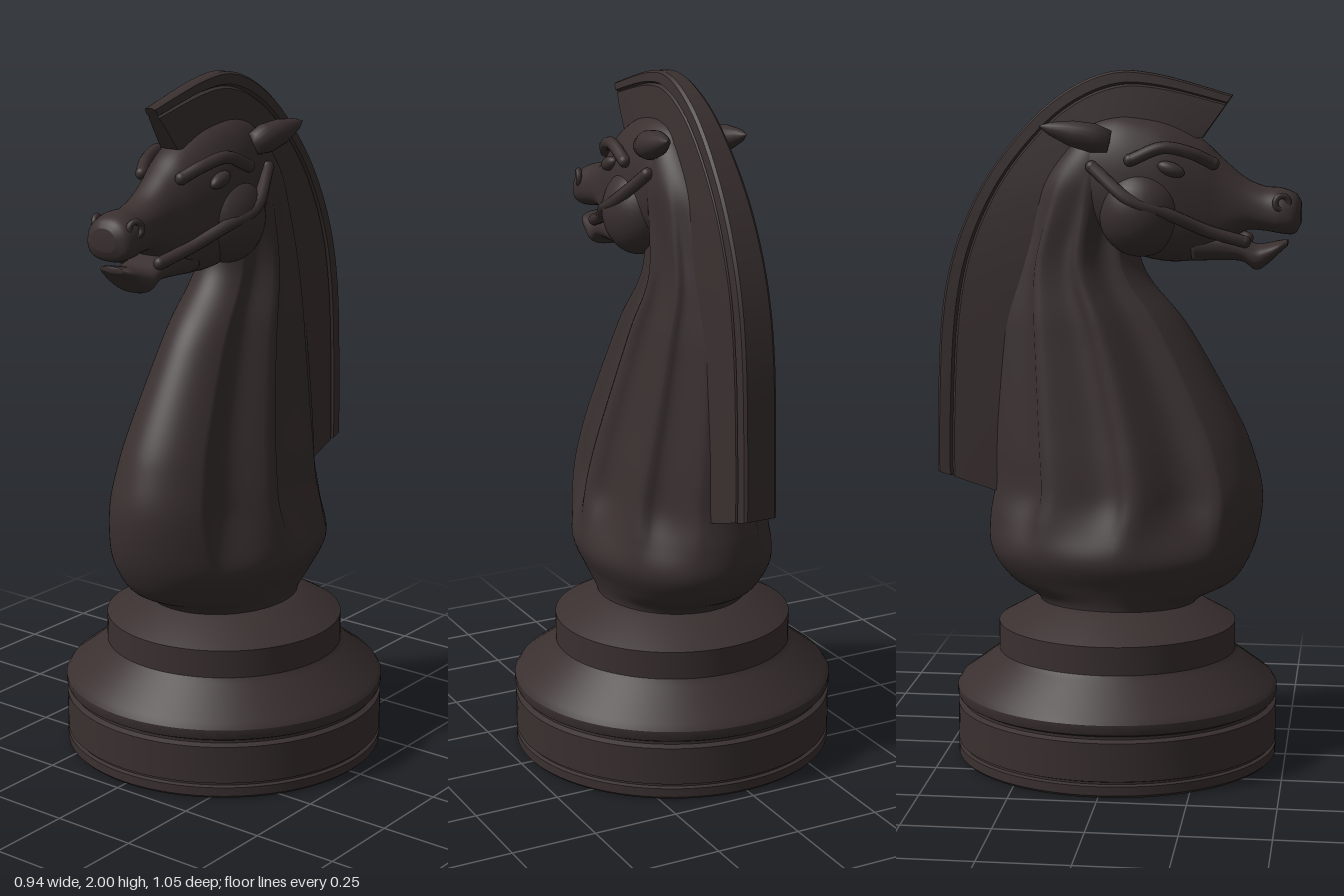
import * as THREE from 'three';
import { toCreasedNormals } from 'three/addons/utils/BufferGeometryUtils.js';

const darkWood = new THREE.MeshStandardMaterial({ color: 0x3a3030 });
darkWood.name = 'darkWood';

// Smoothly resample rows of numbers (Catmull-Rom per column)
function resample(rows, steps) {
  const out = [];
  const last = rows.length - 1;
  for (let i = 0; i < last; i++) {
    const [a, b, c, d] = [rows[Math.max(i - 1, 0)], rows[i], rows[i + 1], rows[Math.min(i + 2, last)]];
    for (let s = 0; s < steps; s++) {
      const t = s / steps;
      out.push(b.map((v, k) => {
        const cubic = 3 * (v - c[k]) + d[k] - a[k];
        const square = 2 * a[k] - 5 * v + 4 * c[k] - d[k];
        return v + 0.5 * t * (c[k] - a[k] + t * (square + t * cubic));
      }));
    }
  }
  out.push(rows[last]);
  return out;
}

// Skin a list of closed rings, each a list of [x, y, z], and cap both ends
function loft(rings, crease) {
  const n = rings[0].length;
  const positions = rings.flat(2);
  const index = [];
  for (let i = 0; i < rings.length - 1; i++) {
    for (let j = 0; j < n; j++) {
      const a = i * n + j, b = i * n + (j + 1) % n;
      index.push(a, b, b + n, a, b + n, a + n);
    }
  }
  [0, rings.length - 1].forEach((r, end) => {
    const centre = positions.length / 3;
    for (let k = 0; k < 3; k++) positions.push(rings[r].reduce((sum, p) => sum + p[k], 0) / n);
    for (let j = 0; j < n; j++) {
      const a = r * n + j, b = r * n + (j + 1) % n;
      index.push(centre, end ? a : b, end ? b : a);
    }
  });
  const geometry = new THREE.BufferGeometry();
  geometry.setAttribute('position', new THREE.Float32BufferAttribute(positions, 3));
  geometry.setIndex(index);
  geometry.computeVertexNormals();
  return crease ? toCreasedNormals(geometry, crease) : geometry;
}

function addMesh(parent, name, geometry) {
  const mesh = new THREE.Mesh(geometry, darkWood);
  mesh.name = name;
  parent.add(mesh);
  return mesh;
}

function addEllipsoid(parent, name, position, radii) {
  const mesh = addMesh(parent, name, new THREE.SphereGeometry(1, 32, 20));
  mesh.position.set(...position);
  mesh.scale.set(...radii);
  return mesh;
}

function addTube(parent, name, points, radius) {
  const curve = new THREE.CatmullRomCurve3(points.map(p => new THREE.Vector3(...p)));
  addMesh(parent, name, new THREE.TubeGeometry(curve, 28, radius, 10));
  for (const p of [points[0], points[points.length - 1]]) {
    addEllipsoid(parent, name + 'End', p, [radius, radius, radius]);
  }
}

// Turned pedestal with two grooves
function pedestal() {
  const profile = [
    [0, 0], [0.462, 0], [0.47, 0.008], [0.47, 0.034], [0.46, 0.038], [0.46, 0.044], [0.47, 0.048],
    [0.47, 0.158], [0.455, 0.165], [0.455, 0.173], [0.468, 0.18], [0.472, 0.19], [0.472, 0.21],
    [0.46, 0.228], [0.36, 0.302], [0.348, 0.318], [0.348, 0.4], [0.24, 0.462], [0.2, 0.475], [0, 0.475],
  ].map(p => new THREE.Vector2(...p));
  return toCreasedNormals(new THREE.LatheGeometry(profile, 96), 0.5);
}

// Neck and chest with flutes carved along the sides
function neck() {
  const rows = resample([ // y, front z, back z, half width
    [0.45, 0.22, -0.22, 0.215], [0.485, 0.26, -0.24, 0.22], [0.53, 0.345, -0.315, 0.235],
    [0.61, 0.395, -0.37, 0.267], [0.7, 0.42, -0.375, 0.258], [0.8, 0.425, -0.36, 0.24],
    [0.9, 0.4, -0.36, 0.222], [1.0, 0.36, -0.358, 0.202], [1.2, 0.25, -0.345, 0.165],
    [1.3, 0.185, -0.335, 0.148], [1.4, 0.1, -0.315, 0.128], [1.48, 0.065, -0.295, 0.118],
    [1.6, 0.06, -0.255, 0.113], [1.7, 0.05, -0.21, 0.108], [1.8, 0.03, -0.13, 0.085], [1.86, 0, -0.06, 0.04],
  ], 6);
  const flutes = [[0.8, 1.42, 0.17], [1.52, 2.1, 0.15], [2.2, 2.75, 0.1]]; // from, to, depth
  const { smoothstep } = THREE.MathUtils;
  return loft(rows.map(([y, front, back, w]) => {
    const fade = smoothstep(y, 0.6, 0.8) * (1 - smoothstep(y, 1.5, 1.75));
    return Array.from({ length: 128 }, (_, j) => {
      const angle = j / 128 * Math.PI * 2;
      const side = Math.min(angle, Math.PI * 2 - angle);
      let r = 1;
      for (const [from, to, depth] of flutes) {
        const t = (side - from) / (to - from);
        if (t > 0 && t < 1) r -= depth * fade * Math.sin(Math.PI * t ** 0.7);
      }
      return [w * r * Math.sin(angle), y, (front + back) / 2 + (front - back) / 2 * r * Math.cos(angle)];
    });
  }));
}

// Head pieces, lofted from back to front: z, top y, bottom y, half width
function muzzleLoft(rows, taper) {
  const square = v => Math.sign(v) * Math.abs(v) ** 0.85;
  return loft(resample(rows, 5).map(([z, top, bottom, w]) =>
    Array.from({ length: 48 }, (_, j) => {
      const c = Math.cos(j / 24 * Math.PI), s = Math.sin(j / 24 * Math.PI);
      return [w * square(c) * (1 - taper * s), (top + bottom) / 2 + (top - bottom) / 2 * square(s), z];
    })));
}

// Crest of the mane: a tapering fin with a raised rim
function mane() {
  const rows = resample([ // inner z, inner y, outer z, outer y, inner half width, outer half width
    [-0.3, 0.77, -0.525, 0.838, 0.062, 0.05], [-0.3, 1.0, -0.523, 1.0, 0.062, 0.05],
    [-0.28, 1.25, -0.51, 1.28, 0.062, 0.05], [-0.25, 1.45, -0.472, 1.48, 0.062, 0.048],
    [-0.18, 1.62, -0.395, 1.66, 0.06, 0.044], [-0.1, 1.72, -0.29, 1.81, 0.056, 0.038],
    [-0.02, 1.78, -0.17, 1.925, 0.052, 0.032], [0.06, 1.8, -0.03, 1.993, 0.048, 0.026],
    [0.14, 1.81, 0.11, 1.99, 0.042, 0.022], [0.245, 1.81, 0.33, 1.93, 0.03, 0.018],
  ], 8);
  const half = [[0, 0], [0.4, 0], [0.77, -0.002], [0.8, -0.012], [0.83, 0], [0.97, 0], [1, -0.008]];
  const section = [...half.map(p => [...p, 1]), ...half.map(p => [...p, -1]).reverse()];
  return loft(rows.map(([iz, iy, oz, oy, wi, wo]) => section.map(([f, inset, side]) =>
    [side * (wi + (wo - wi) * f + inset), iy + (oy - iy) * f, iz + (oz - iz) * f])), 0.6);
}

// Features repeated on each side of the head
function addFaceSide(parent, side) {
  const at = (x, y, z) => [side * x, y, z];
  const name = side > 0 ? 'left' : 'right';
  addEllipsoid(parent, name + 'Cheek', at(0.07, 1.6, 0.075), [0.1, 0.125, 0.12]);
  addTube(parent, name + 'CheekRidge',
    [at(0.066, 1.52, 0.37), at(0.092, 1.55, 0.27), at(0.135, 1.6, 0.16), at(0.155, 1.635, 0.06), at(0.11, 1.73, -0.06)], 0.018);
  addTube(parent, name + 'Brow',
    [at(0.07, 1.74, 0.28), at(0.1, 1.77, 0.22), at(0.118, 1.785, 0.14), at(0.125, 1.75, 0.05)], 0.018);
  const eye = addEllipsoid(parent, name + 'Eye', at(0.115, 1.725, 0.165), [0.02, 0.02, 0.04]);
  eye.rotation.x = 0.35;
  const nostril = addMesh(parent, name + 'Nostril', new THREE.TorusGeometry(0.02, 0.009, 10, 24));
  nostril.position.set(...at(0.068, 1.63, 0.475));
  nostril.rotation.y = side * 1.2;

  // Backswept pointed ear
  const base = new THREE.Vector3(...at(0.095, 1.8, -0.01));
  const tip = new THREE.Vector3(...at(0.122, 1.845, -0.21));
  const direction = tip.clone().sub(base);
  const profile = [[0, 0], [0.032, 0.01], [0.042, 0.25], [0.036, 0.55], [0.018, 0.85], [0, 1]]
    .map(([r, t]) => new THREE.Vector2(r, t * direction.length()));
  const ear = addMesh(parent, name + 'Ear', new THREE.LatheGeometry(profile, 20));
  ear.position.copy(base);
  ear.quaternion.setFromUnitVectors(new THREE.Vector3(0, 1, 0), direction.normalize());
}

export function createModel() {
  const model = new THREE.Group();
  model.name = 'chessKnight';
  addMesh(model, 'pedestal', pedestal());
  addMesh(model, 'neck', neck());
  addMesh(model, 'mane', mane());

  const head = new THREE.Group();
  head.name = 'head';
  model.add(head);
  addMesh(head, 'skull', muzzleLoft([
    [-0.14, 1.78, 1.64, 0.05], [-0.08, 1.85, 1.56, 0.1], [0, 1.875, 1.5, 0.122], [0.08, 1.87, 1.47, 0.128],
    [0.16, 1.85, 1.457, 0.122], [0.245, 1.805, 1.465, 0.1], [0.3, 1.755, 1.49, 0.083],
    [0.365, 1.7, 1.545, 0.07], [0.42, 1.675, 1.548, 0.07], [0.47, 1.67, 1.54, 0.078],
    [0.51, 1.655, 1.54, 0.07], [0.528, 1.63, 1.57, 0.04],
  ], 0.12));
  addMesh(head, 'lowerJaw', muzzleLoft([
    [0.22, 1.55, 1.46, 0.085], [0.3, 1.545, 1.462, 0.075], [0.36, 1.525, 1.46, 0.07], [0.4, 1.51, 1.436, 0.07],
    [0.43, 1.512, 1.45, 0.068], [0.47, 1.52, 1.487, 0.06], [0.49, 1.522, 1.505, 0.035],
  ], 0));
  for (const side of [1, -1]) addFaceSide(head, side);
  return model;
}
